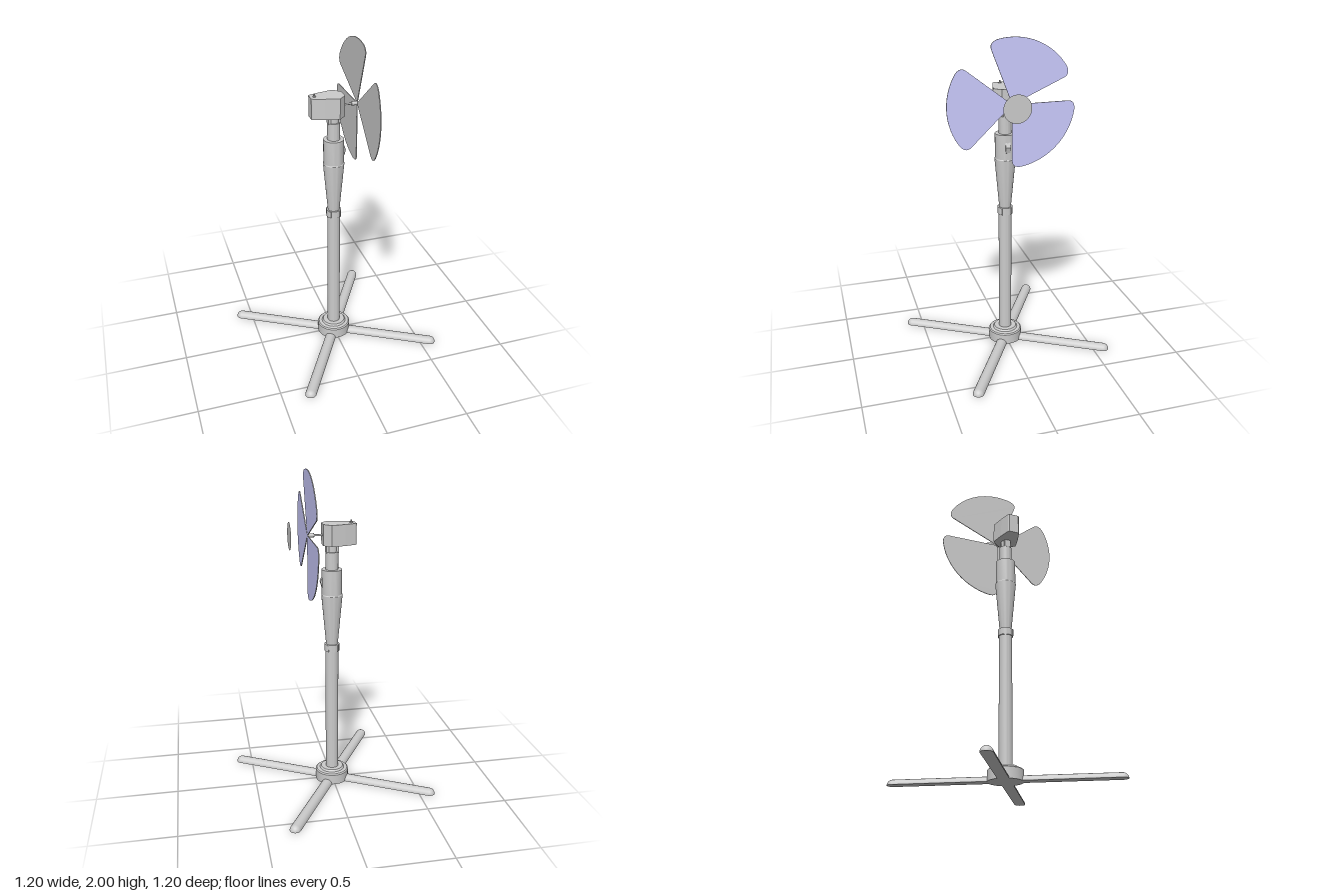
import * as THREE from 'three';
import { toCreasedNormals } from 'three/addons/utils/BufferGeometryUtils.js';

const grey = new THREE.MeshStandardMaterial({ color: 0xcccccc });
const greyDouble = new THREE.MeshStandardMaterial({ color: 0xcccccc, side: THREE.DoubleSide });
const lilac = new THREE.MeshStandardMaterial({ color: 0xccccff });

const FAN_Y = 1.617, BLADE_R = 0.383, BLADE_X = 0.143;

function part(name, geometry, material = grey) {
  const mesh = new THREE.Mesh(geometry, material);
  mesh.name = name;
  return mesh;
}

// Turned part from [radius, height] pairs, bottom to top
function turned(name, profile) {
  const points = profile.map(([r, y]) => new THREE.Vector2(r, y));
  return part(name, toCreasedNormals(new THREE.LatheGeometry(points, 40), 0.4));
}

// Half-round bar with spherical ends and a flat underside
function crossBar(angle) {
  const r = 0.034, half = 0.653;
  const profile = [];
  for (let i = 0; i <= 8; i++) {
    const a = (i / 8) * Math.PI / 2;
    profile.push(new THREE.Vector2(r * Math.sin(a), -half - r * Math.cos(a)));
  }
  for (let i = 0; i <= 8; i++) {
    const a = (i / 8) * Math.PI / 2;
    profile.push(new THREE.Vector2(r * Math.cos(a), half + r * Math.sin(a)));
  }
  const bar = new THREE.Group();
  bar.name = 'crossBar';
  bar.add(part('crossBarTop', new THREE.LatheGeometry(profile, 16, 0, Math.PI).rotateZ(Math.PI / 2)));
  const outline = new THREE.Shape();
  outline.absarc(half, 0, r, -Math.PI / 2, Math.PI / 2);
  outline.absarc(-half, 0, r, Math.PI / 2, Math.PI * 1.5);
  bar.add(part('crossBarUnderside', new THREE.ShapeGeometry(outline).rotateX(Math.PI / 2)));
  bar.rotation.y = angle;
  return bar;
}

// Sector blade with rounded outer corners, lilac on the front face
function blade(startDeg, endDeg) {
  const a0 = THREE.MathUtils.degToRad(startDeg), a1 = THREE.MathUtils.degToRad(endDeg);
  const at = (r, a) => [r * Math.cos(a), r * Math.sin(a)];
  const R = BLADE_R, inner = R * 0.88, turn = 0.15;
  const s = new THREE.Shape();
  s.moveTo(0, 0);
  s.lineTo(...at(inner, a0));
  s.quadraticCurveTo(...at(R, a0), ...at(R, a0 + turn));
  s.absarc(0, 0, R, a0 + turn, a1 - turn);
  s.quadraticCurveTo(...at(R, a1), ...at(inner, a1));
  s.closePath();
  const group = new THREE.Group();
  group.name = 'blade';
  const body = new THREE.ExtrudeGeometry(s, { depth: 0.005, bevelEnabled: false, curveSegments: 20 });
  group.add(part('bladeBody', body.rotateY(Math.PI / 2)));
  const face = part('bladeFace', new THREE.ShapeGeometry(s, 20).rotateY(Math.PI / 2), lilac);
  face.position.x = 0.006;
  group.add(face);
  group.position.set(BLADE_X, FAN_Y, 0);
  return group;
}

// Cylinder lying along x between two positions
function rod(name, x0, x1, r) {
  const mesh = part(name, new THREE.CylinderGeometry(r, r, x1 - x0, 20).rotateZ(Math.PI / 2));
  mesh.position.set((x0 + x1) / 2, FAN_Y, 0);
  return mesh;
}

export function createModel() {
  const model = new THREE.Group();
  model.name = 'pedestalFan';

  // Base
  model.add(crossBar(Math.PI / 3), crossBar(-Math.PI / 6));
  model.add(turned('baseHub', [[0, 0], [0.105, 0], [0.105, 0.065], [0.098, 0.072], [0.078, 0.075], [0.07, 0.087], [0, 0.087]]));

  // Stand
  model.add(turned('pole', [[0.04, 0.08], [0.04, 0.9]]));
  model.add(turned('collar', [[0.038, 0.89], [0.046, 0.89], [0.046, 0.935], [0.034, 0.935]]));
  for (let i = 0; i < 4; i++) {
    const a = i * Math.PI / 2 + Math.PI / 4;
    const rib = part('collarRib', new THREE.BoxGeometry(0.008, 0.042, 0.014));
    rib.position.set(0.045 * Math.cos(a), 0.912, 0.045 * Math.sin(a));
    rib.rotation.y = -a;
    model.add(rib);
  }
  model.add(turned('controlHousing', [[0.036, 0.93], [0.065, 1.25], [0.062, 1.255], [0.062, 1.408], [0, 1.408]]));
  model.add(turned('neck', [[0.038, 1.4], [0.038, 1.515], [0.03, 1.515], [0.03, 1.565]]));
  for (const side of [-1, 1]) {
    const tab = part('neckTab', new THREE.BoxGeometry(0.016, 0.05, 0.04));
    tab.position.set(side * 0.03, 1.535, 0);
    model.add(tab);
  }

  // Wedge switch on the housing
  const wedge = new THREE.Shape();
  wedge.moveTo(0.05, 1.29);
  wedge.lineTo(0.063, 1.3);
  wedge.lineTo(0.073, 1.335);
  wedge.lineTo(0.06, 1.365);
  wedge.lineTo(0.05, 1.365);
  const control = part('speedSwitch', new THREE.ExtrudeGeometry(wedge, { depth: 0.03, bevelEnabled: false }));
  control.position.z = -0.015;
  model.add(control);

  // Motor housing with tapered rear
  const half = [[0.058, 0.035], [0.015, 0.077], [-0.07, 0.058], [-0.135, 0.038], [-0.143, 0.03]];
  const outline = [...half, ...half.map(([x, z]) => [x, -z]).reverse()].map(p => new THREE.Vector2(...p));
  const motor = part('motorHousing', new THREE.ExtrudeGeometry(new THREE.Shape(outline), { depth: 0.127, bevelEnabled: false }).rotateX(-Math.PI / 2));
  motor.position.y = 1.558;
  model.add(motor);
  const pin = part('oscillationPin', new THREE.CylinderGeometry(0.004, 0.004, 0.02, 12));
  pin.position.set(-0.116, 1.692, 0);
  const pinBase = part('pinBase', new THREE.CylinderGeometry(0.011, 0.011, 0.004, 20));
  pinBase.position.set(-0.116, 1.686, 0);
  model.add(pin, pinBase);

  // Shaft, blades and front disc
  model.add(rod('shaft', 0.05, 0.115, 0.006), rod('shaftSleeve', 0.108, 0.146, 0.012));
  for (const [start, end] of [[24, 111], [-90, 0], [142, 224]]) model.add(blade(start, end));
  const disc = part('frontDisc', new THREE.CircleGeometry(0.084, 40).rotateY(Math.PI / 2), greyDouble);
  disc.position.set(0.255, FAN_Y, 0);
  model.add(disc);

  return model;
}
